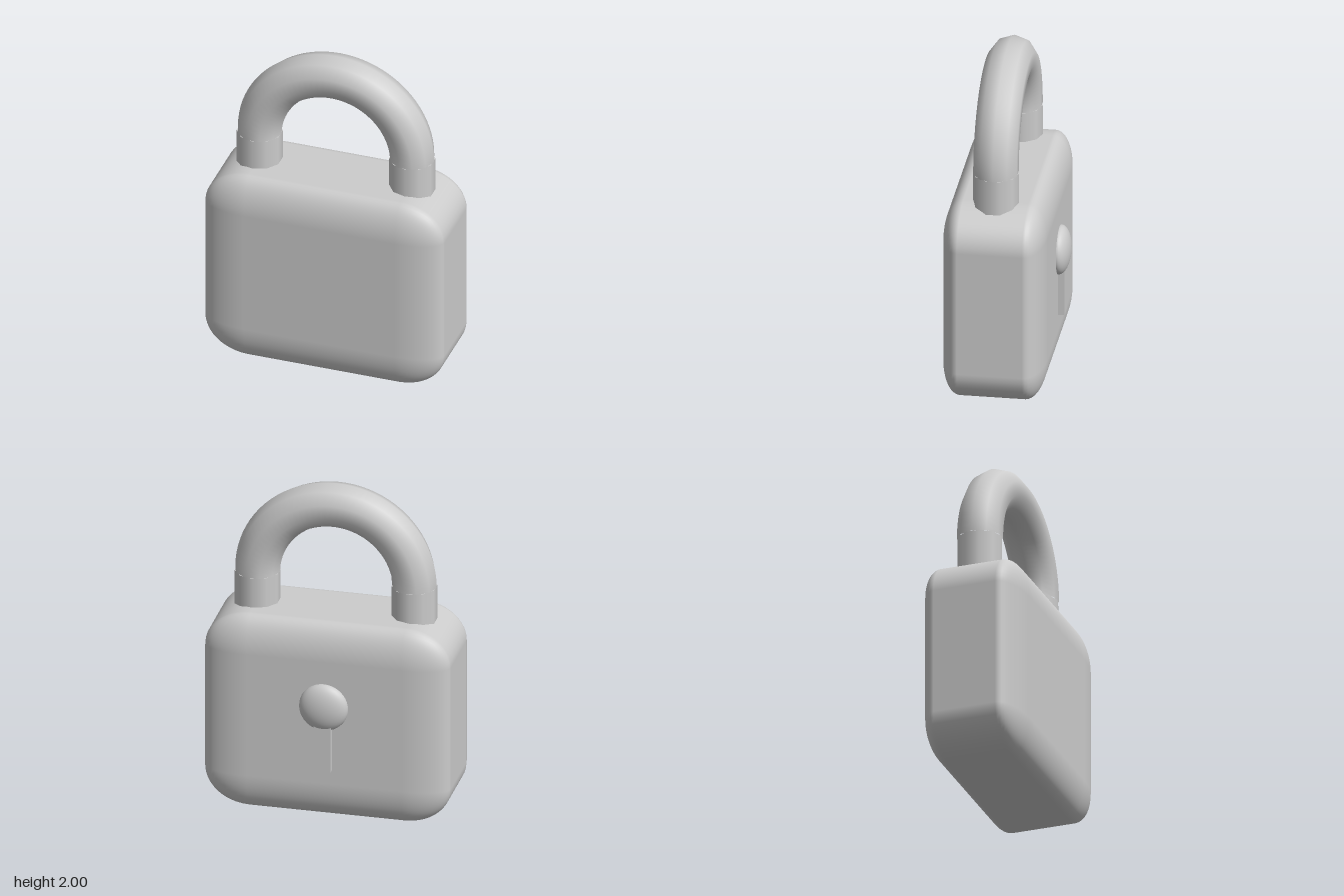
import * as THREE from 'three';
import { RoundedBoxGeometry } from 'three/addons/geometries/RoundedBoxGeometry.js';

export function createModel() {
  const model = new THREE.Group();
  model.name = 'padlock';
  const metal = new THREE.MeshStandardMaterial({ color: 0xcccccc });
  metal.name = 'grey metal';

  const add = (name, geometry, x, y, z) => {
    const mesh = new THREE.Mesh(geometry, metal);
    mesh.name = name;
    mesh.position.set(x, y, z);
    model.add(mesh);
  };

  const midZ = 0.03;
  const bowRadius = 0.464, barRadius = 0.133, bowY = 1.403;

  // Body: a rounded cube stretched so its corners stay proportional
  const body = new RoundedBoxGeometry(2, 2, 2, 6, 0.37);
  body.scale(0.728, 0.61, 0.3);
  add('body', body, 0, 0.61, midZ);

  // Shackle: half ring on two straight legs that sink into the body
  add('shackleBow', new THREE.TorusGeometry(bowRadius, barRadius, 10, 40, Math.PI), 0, bowY, midZ);
  const legBottom = 1.05;
  for (const [name, side] of [['leftShackleLeg', 1], ['rightShackleLeg', -1]]) {
    const leg = new THREE.CylinderGeometry(barRadius, barRadius, bowY - legBottom, 10);
    add(name, leg, side * bowRadius, (bowY + legBottom) / 2, midZ);
  }

  // Keyhole on the back: domed disc above a narrow raised slot
  const dome = new THREE.SphereGeometry(1, 32, 20);
  dome.scale(0.145, 0.145, 0.066);
  add('keyholeDome', dome, 0, 0.715, -0.272);
  add('keyholeSlot', new THREE.BoxGeometry(0.1, 0.34, 0.07), 0, 0.49, -0.272);

  return model;
}
